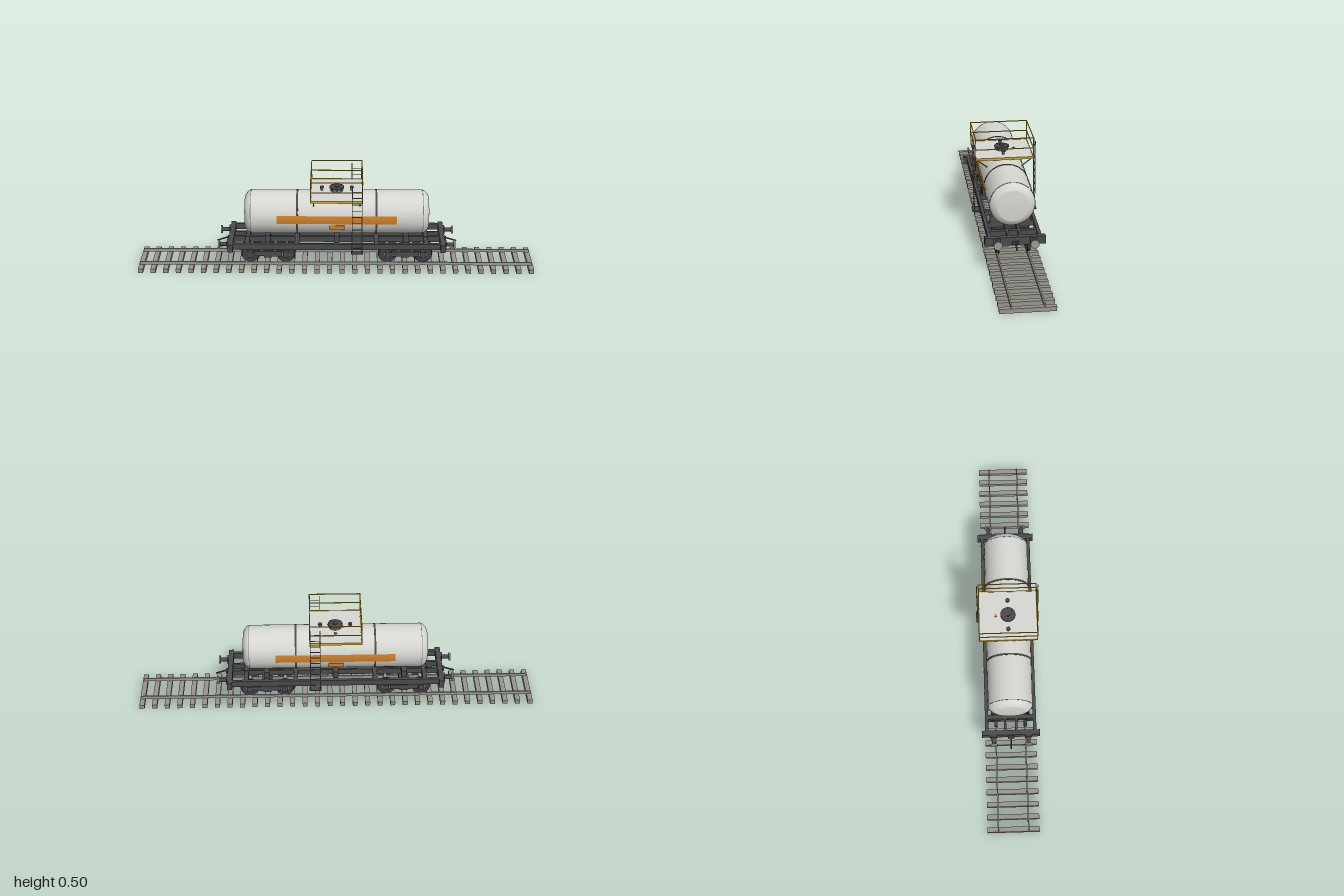
import * as THREE from 'three';

const mat = (name, color, side = THREE.FrontSide) => {
  const m = new THREE.MeshStandardMaterial({ color, side });
  m.name = name;
  return m;
};

export function createModel() {
  const dark = mat('dark frame grey', 0x4b4b4e);
  const wheelGrey = mat('wheel grey', 0x404043);
  const steel = mat('bare steel', 0x9c9c96);
  const sleeperGrey = mat('sleeper grey', 0x97958d);
  const tankWhite = mat('tank pale grey', 0xd6d6d2);
  const orange = mat('orange', 0xd08028, THREE.DoubleSide);
  const yellow = mat('safety yellow', 0xcfac25);
  const pipeGrey = mat('pipe grey', 0x77777a);

  const model = new THREE.Group();
  const wagon = new THREE.Group();
  wagon.name = 'tankWagon';
  wagon.position.x = 0.004;
  model.add(wagon);

  const add = (name, geo, m, x = 0, y = 0, z = 0, parent = wagon) => {
    const mesh = new THREE.Mesh(geo, m);
    mesh.name = name;
    mesh.position.set(x, y, z);
    parent.add(mesh);
    return mesh;
  };
  const box = (name, m, w, h, d, x, y, z, parent) =>
    add(name, new THREE.BoxGeometry(w, h, d), m, x, y, z, parent);
  // cylinder along a chosen axis
  const cyl = (name, m, r, len, axis, x, y, z, parent, seg = 24) => {
    const g = new THREE.CylinderGeometry(r, r, len, seg);
    if (axis === 'x') g.rotateZ(-Math.PI / 2);
    if (axis === 'z') g.rotateX(Math.PI / 2);
    return add(name, g, m, x, y, z, parent);
  };
  // round bar between two points
  const bar = (name, m, r, a, b, parent) => {
    const p = new THREE.Vector3(...a), q = new THREE.Vector3(...b);
    const mesh = add(name, new THREE.CylinderGeometry(r, r, p.distanceTo(q), 8), m, 0, 0, 0, parent);
    mesh.position.copy(p).add(q).multiplyScalar(0.5);
    mesh.quaternion.setFromUnitVectors(new THREE.Vector3(0, 1, 0), q.sub(p).normalize());
    return mesh;
  };
  const sides = [-1, 1];

  // Track
  const track = new THREE.Group();
  track.name = 'track';
  model.add(track);
  for (let i = 0; i < 32; i++)
    box('sleeper', sleeperGrey, 0.025, 0.022, 0.26, -0.9875 + i * 1.975 / 31, 0.011, 0, track);
  for (const s of sides) box('rail', steel, 1.99, 0.016, 0.007, 0, 0.03, s * 0.075, track);

  // Bogies
  for (const e of sides) {
    const bogie = new THREE.Group();
    bogie.name = 'bogie';
    bogie.position.x = e * 0.346;
    wagon.add(bogie);
    box('bolster', dark, 0.05, 0.03, 0.18, 0, 0.117, 0, bogie);
    for (const s of sides) {
      box('sideFrame', dark, 0.14, 0.026, 0.014, 0, 0.093, s * 0.091, bogie);
      box('springPack', dark, 0.04, 0.033, 0.014, 0, 0.091, s * 0.093, bogie);
    }
    for (const a of sides) {
      cyl('axle', steel, 0.009, 0.14, 'z', a * 0.089, 0.086, 0, bogie, 16);
      for (const s of sides) {
        cyl('wheel', wheelGrey, 0.045, 0.014, 'z', a * 0.089, 0.086, s * 0.075, bogie, 32);
        cyl('wheelFlange', wheelGrey, 0.049, 0.004, 'z', a * 0.089, 0.086, s * 0.069, bogie, 32);
        cyl('wheelHub', pipeGrey, 0.02, 0.004, 'z', a * 0.089, 0.086, s * 0.083, bogie);
        box('axleBox', dark, 0.028, 0.03, 0.016, a * 0.089, 0.09, s * 0.092, bogie);
      }
    }
  }

  // Underframe
  for (const s of sides) {
    box('sideSill', dark, 1.06, 0.032, 0.016, 0, 0.147, s * 0.12);
    box('centreSill', dark, 1.06, 0.03, 0.012, 0, 0.146, s * 0.028);
  }
  for (const x of [-0.45, -0.346, -0.2, 0, 0.2, 0.346, 0.45])
    box('crossMember', dark, 0.022, 0.026, 0.24, x, 0.147, 0);
  for (const x of [-0.346, 0, 0.346]) {
    // saddle hollowed to the round of the tank
    const sh = new THREE.Shape();
    sh.moveTo(-0.1, 0.16);
    sh.lineTo(0.1, 0.16);
    sh.lineTo(0.1, 0.196);
    sh.lineTo(0.062, 0.196);
    sh.absarc(0, 0.286, 0.1095, -0.965, Math.PI + 0.965, true);
    sh.lineTo(-0.1, 0.196);
    const g = new THREE.ExtrudeGeometry(sh, { depth: 0.028, bevelEnabled: false, curveSegments: 16 });
    g.translate(0, 0, -0.014).rotateY(Math.PI / 2);
    add('tankSaddle', g, dark, x);
  }

  // Headstocks, buffers and couplers
  for (const e of sides) {
    box('headstock', dark, 0.025, 0.04, 0.29, e * 0.533, 0.143, 0);
    for (const s of sides) {
      box('bufferBase', dark, 0.008, 0.034, 0.034, e * 0.549, 0.144, s * 0.087);
      cyl('bufferStem', dark, 0.01, 0.05, 'x', e * 0.565, 0.144, s * 0.087);
      cyl('bufferHead', steel, 0.021, 0.008, 'x', e * 0.592, 0.144, s * 0.087);
    }
    box('couplerPocket', dark, 0.012, 0.014, 0.032, e * 0.55, 0.136, 0);
    bar('couplerBar', dark, 0.004, [e * 0.55, 0.142, 0], [e * 0.608, 0.123, 0]);
  }

  // Tank: straight barrel with shallow dished ends
  const half = [[0, 0.4655], [0.04, 0.4645], [0.076, 0.462], [0.08, 0.461], [0.092, 0.455],
    [0.102, 0.446], [0.108, 0.437], [0.11, 0.43], [0.11, 0.42]];
  const profile = [...half.map(([r, x]) => new THREE.Vector2(r, -x)),
    ...half.slice().reverse().map(([r, x]) => new THREE.Vector2(r, x))];
  const tankGeo = new THREE.LatheGeometry(profile, 64);
  tankGeo.rotateZ(-Math.PI / 2);
  add('tank', tankGeo, tankWhite, 0, 0.286, 0);
  for (const e of sides) {
    cyl('tankBand', dark, 0.1118, 0.009, 'x', e * 0.198, 0.286, 0, wagon, 64);
    cyl('endSeam', pipeGrey, 0.1106, 0.003, 'x', e * 0.431, 0.286, 0, wagon, 64);
  }

  // Painted stripes and sign plates on both flanks
  for (const s of sides) {
    const g = new THREE.CylinderGeometry(0.1125, 0.1125, 0.598, 12, 1, true,
      (s > 0 ? 0 : Math.PI) - 0.195, 0.39);
    g.rotateZ(Math.PI / 2);
    add('orangeStripe', g, orange, 0, 0.287, 0);
    box('signPlate', orange, 0.076, 0.022, 0.002, 0, 0.247, s * 0.1115);
  }

  // Platform with yellow rim
  const PX = 0.13, PZ = 0.145;
  box('platformDeck', tankWhite, 0.254, 0.006, 0.284, 0, 0.4, 0);
  for (const s of sides) {
    box('platformRim', yellow, 2 * PX, 0.012, 0.004, 0, 0.399, s * (PZ - 0.002));
    box('platformRim', yellow, 0.004, 0.012, 2 * PZ, s * (PX - 0.002), 0.399, 0);
    // Guard rails
    for (const y of [0.45, 0.503]) {
      box('guardRail', yellow, 2 * PX, 0.004, 0.004, 0, y, s * (PZ - 0.002));
      box('guardRail', yellow, 0.004, 0.004, 2 * PZ, s * (PX - 0.002), y, 0);
    }
    for (const e of sides) {
      box('railPost', yellow, 0.004, 0.1, 0.004, e * (PX - 0.002), 0.454, s * (PZ - 0.002));
      bar('platformStrut', pipeGrey, 0.003, [e * 0.115, 0.393, s * 0.137], [e * 0.115, 0.352, s * 0.084]);
    }
  }

  // Ladders with foot steps
  for (const s of sides) {
    const ladder = new THREE.Group();
    ladder.name = 'ladder';
    wagon.add(ladder);
    for (const x of [0.077, 0.126])
      box('ladderRail', pipeGrey, 0.004, 0.362, 0.004, x, 0.304, s * 0.152, ladder);
    for (let i = 0; i < 10; i++)
      box('ladderRung', pipeGrey, 0.049, 0.003, 0.003, 0.1015, 0.152 + i * 0.034, s * 0.152, ladder);
    box('footStep', dark, 0.06, 0.004, 0.034, 0.1015, 0.124, s * 0.144, ladder);
  }

  // Manhole and valves
  cyl('manholeNeck', pipeGrey, 0.032, 0.034, 'y', 0, 0.4, 0, wagon, 32);
  cyl('manholeLid', dark, 0.037, 0.007, 'y', 0, 0.419, 0, wagon, 32);
  cyl('lidCap', dark, 0.012, 0.006, 'y', 0, 0.425, 0);
  for (let i = 0; i < 8; i++) {
    const a = i * Math.PI / 4;
    cyl('lidBolt', dark, 0.004, 0.013, 'y', Math.cos(a) * 0.032, 0.418, Math.sin(a) * 0.032, wagon, 8);
  }
  for (const e of sides) {
    cyl('valveStem', pipeGrey, 0.006, 0.03, 'y', e * 0.075, 0.405, 0, wagon, 12);
    cyl('valveCap', dark, 0.01, 0.007, 'y', e * 0.075, 0.42, 0, wagon, 16);
  }
  cyl('reliefValve', orange, 0.007, 0.024, 'y', 0, 0.397, -0.06, wagon, 16);

  return model;
}
